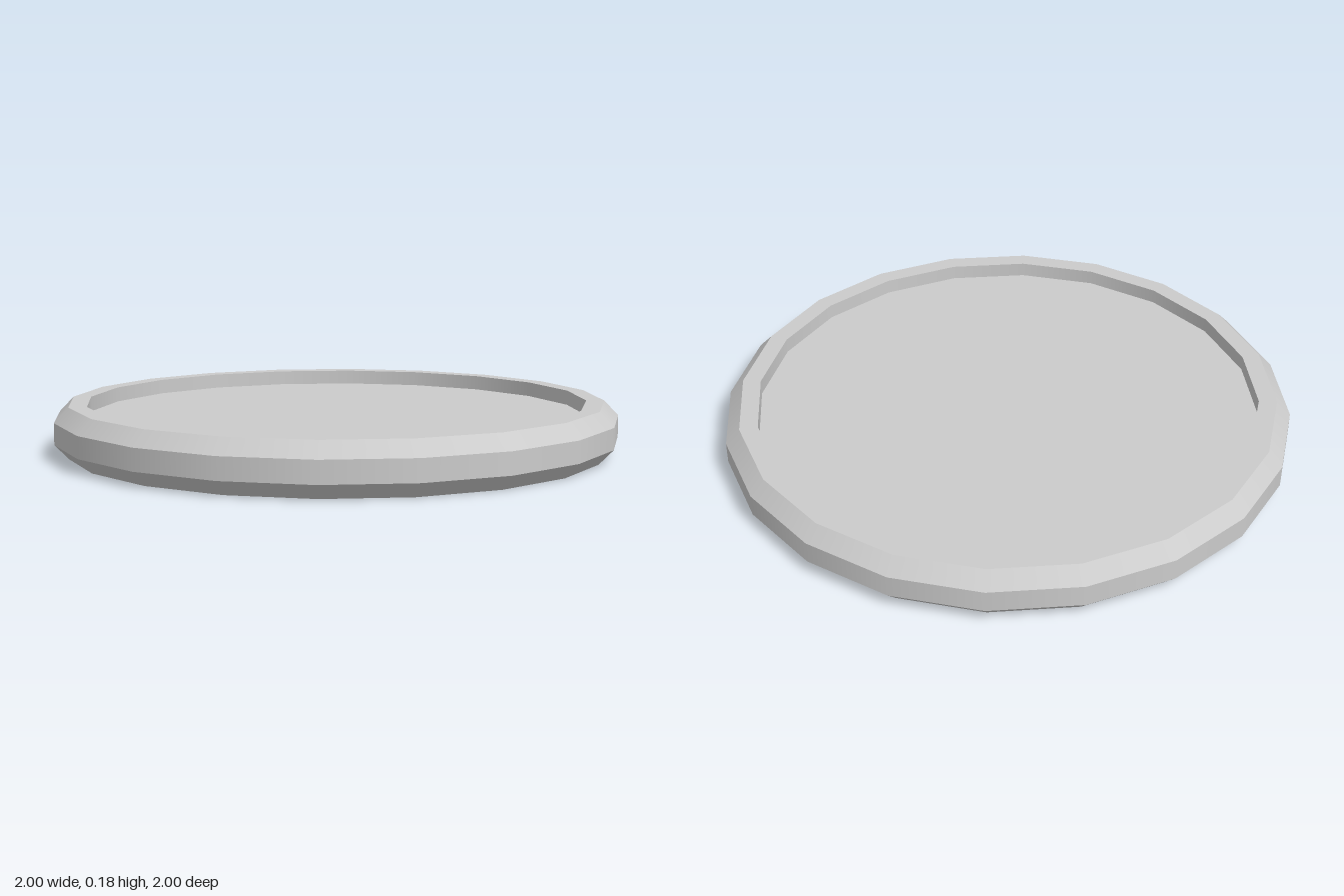
import * as THREE from 'three';
import { mergeGeometries } from 'three/addons/utils/BufferGeometryUtils.js';

const SIDES = 20;

// One ring per profile step: smooth around the plate, sharp between the rings
function rings(points) {
  const bands = [];
  for (let i = 0; i < points.length - 1; i++) {
    const pair = [points[i], points[i + 1]].map(([r, y]) => new THREE.Vector2(r, y));
    bands.push(new THREE.LatheGeometry(pair, SIDES));
  }
  return mergeGeometries(bands);
}

// Flat disc facing up (dir = 1) or down (dir = -1)
function disc(radius, y, dir) {
  return new THREE.CircleGeometry(radius, SIDES).rotateX(-dir * Math.PI / 2).translate(0, y, 0);
}

export function createModel() {
  const group = new THREE.Group();
  group.name = 'plate';
  const material = new THREE.MeshStandardMaterial({ color: 0xcccccc });

  const add = (name, geometry) => {
    const mesh = new THREE.Mesh(geometry, material);
    mesh.name = name;
    group.add(mesh);
  };

  // Underside
  add('base', disc(0.95, 0, -1));
  // Bevelled outer edge
  add('outerEdge', rings([[0.95, 0], [1, 0.052], [1, 0.128], [0.95, 0.18]]));
  // Flat lip and the wall dropping to the recess
  add('rim', rings([[0.95, 0.18], [0.886, 0.18], [0.886, 0.127]]));
  // Recessed floor
  add('floor', disc(0.886, 0.127, 1));

  return group;
}
